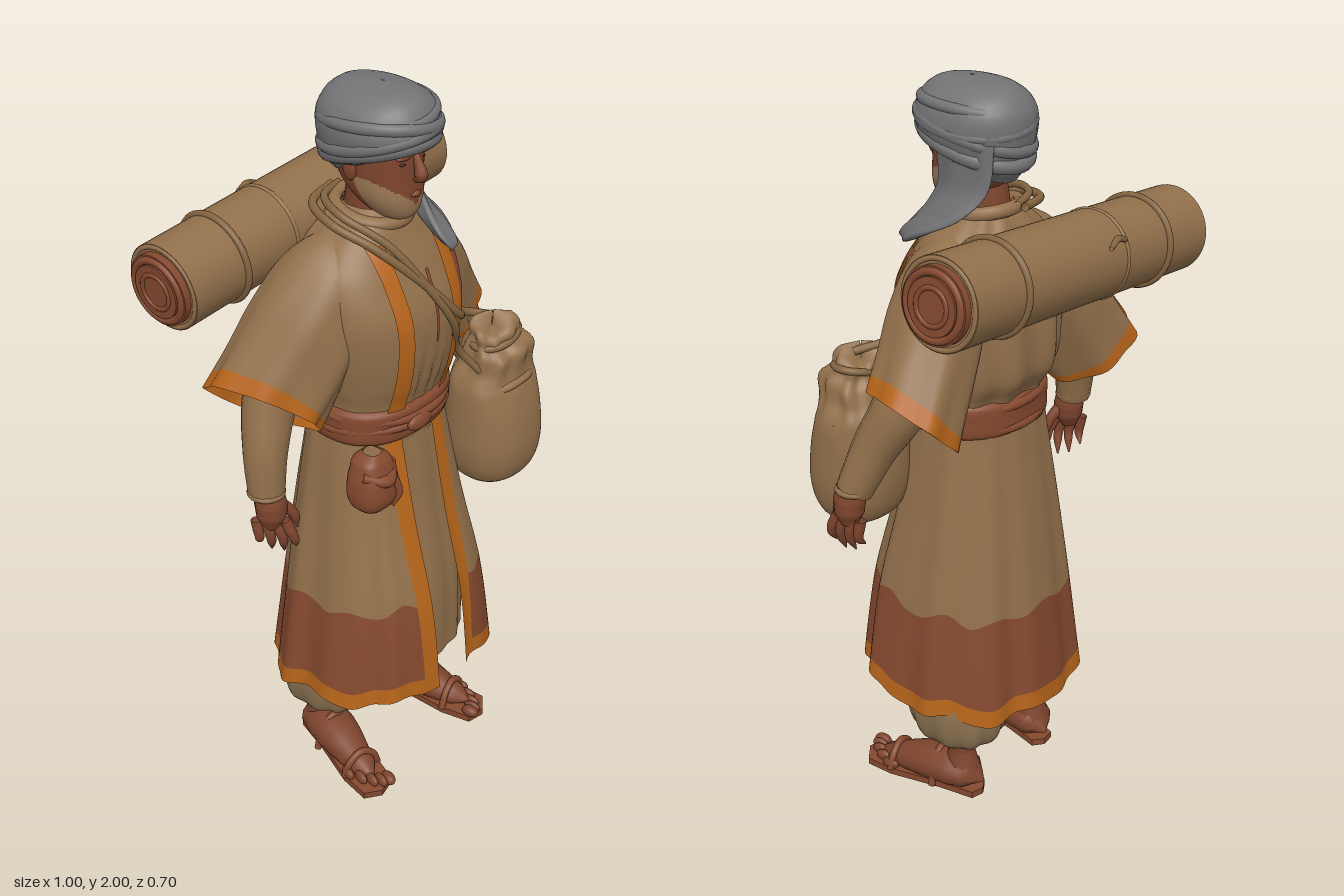
import * as THREE from 'three';
import { mergeVertices } from 'three/addons/utils/BufferGeometryUtils.js';

const mat = (name, color, side = THREE.DoubleSide) => new THREE.MeshStandardMaterial({ name, color, side });
const tan = mat('tan cloth', 0x92704b), pantsTan = mat('trouser cloth', 0x8a7150), red = mat('red-brown cloth', 0x85492f),
  orange = mat('orange trim', 0xb5641a), skin = mat('skin', 0x7e452e), grey = mat('grey turban', 0x737376),
  beardMat = mat('beard', 0x9c7854), rope = mat('rope', 0x846440), dark = mat('dark eyes', 0x3a231a);
const V = (x, y, z) => new THREE.Vector3(x, y, z);
const range = (a, b, n) => Array.from({ length: n + 1 }, (_, i) => a + (b - a) * i / n);
const TAU = Math.PI * 2;

// Smooth lookup in rows of [key, ...values]
function prof(rows, k) {
  const n = rows.length - 1;
  k = Math.min(Math.max(k, rows[0][0]), rows[n][0]);
  let i = 0;
  while (i < n - 1 && k > rows[i + 1][0]) i++;
  const A = rows[i], B = rows[i + 1], P = rows[Math.max(i - 1, 0)], N = rows[Math.min(i + 2, n)];
  const h = B[0] - A[0], t = (k - A[0]) / h, t2 = t * t, t3 = t2 * t;
  return A.slice(1).map((a, j) => {
    const b = B[j + 1], m0 = (b - P[j + 1]) / (B[0] - P[0]) * h, m1 = (N[j + 1] - a) / (N[0] - A[0]) * h;
    return (2 * t3 - 3 * t2 + 1) * a + (t3 - 2 * t2 + t) * m0 + (3 * t2 - 2 * t3) * b + (t3 - t2) * m1;
  });
}

// Surface over a grid of parameters; pick chooses a material for each cell
function grid(name, mats, us, vs, f, pick = () => 0, flip = false) {
  const pos = [], lists = mats.map(() => []), w = us.length;
  for (const v of vs) for (const u of us) pos.push(...f(u, v));
  for (let j = 0; j < vs.length - 1; j++) for (let i = 0; i < w - 1; i++) {
    const a = j * w + i, b = a + 1, c = b + w, d = a + w;
    lists[pick((us[i] + us[i + 1]) / 2, (vs[j] + vs[j + 1]) / 2)].push(...(flip ? [a, c, b, a, d, c] : [a, b, c, a, c, d]));
  }
  let g = new THREE.BufferGeometry();
  g.setAttribute('position', new THREE.Float32BufferAttribute(pos, 3));
  g.setIndex(lists.flat());
  let start = 0;
  lists.forEach((l, m) => { g.addGroup(start, l.length, m); start += l.length; });
  g = mergeVertices(g);
  g.computeVertexNormals();
  const mesh = new THREE.Mesh(g, mats.length > 1 ? mats : mats[0]);
  mesh.name = name;
  return mesh;
}

// Point on a rounded section [halfWidth, zFront, zBack, centreX]; a = 0 faces front
const sp = (v, p) => Math.sign(v) * Math.abs(v) ** p;
function section([w, zf, zb, cx = 0], a, p = 0.85, k = 1) {
  return [cx + w * k * sp(Math.sin(a), p), (zf + zb) / 2 + (zf - zb) / 2 * k * sp(Math.cos(a), p)];
}
function body(name, mats, rows, { n = 40, m = 30, p = 0.9, fold = () => 0, lift = () => 0, pick } = {}) {
  return grid(name, mats, range(0, TAU, n), range(rows[0][0], rows[rows.length - 1][0], m), (a, y) => {
    const [x, z] = section(prof(rows, y), a, p, 1 + fold(a, y));
    return [x, y + lift(a, y), z];
  }, pick);
}

// Tube of varying radius
function limb(name, material, pts, radii, closed = false, n = 28) {
  const curve = new THREE.CatmullRomCurve3(pts.map(q => V(...q)), closed);
  let g = new THREE.TubeGeometry(curve, n, 1, 12, closed);
  const P = g.attributes.position, q = V(0, 0, 0);
  for (let i = 0; i < P.count; i++) {
    const t = Math.floor(i / 13) / n, c = curve.getPointAt(t), s = t * (radii.length - 1), k = Math.min(Math.floor(s), radii.length - 2);
    const r = radii.length > 1 ? radii[k] + (radii[k + 1] - radii[k]) * (s - k) : radii[0];
    q.fromBufferAttribute(P, i).sub(c).multiplyScalar(r).add(c);
    P.setXYZ(i, q.x, q.y, q.z);
  }
  g.deleteAttribute('uv'); g.deleteAttribute('normal');
  g = mergeVertices(g);
  g.computeVertexNormals();
  const mesh = new THREE.Mesh(g, material);
  mesh.name = name;
  return mesh;
}
function ball(name, material, c, s) {
  const mesh = new THREE.Mesh(new THREE.SphereGeometry(1, 18, 12), material);
  mesh.name = name; mesh.position.set(...c); mesh.scale.set(...s);
  return mesh;
}

// Cross-sections by height
const SKIRT = [[0.27, 0.308, 0.352, -0.208], [0.6, 0.264, 0.314, -0.176], [0.85, 0.224, 0.25, -0.148], [1.13, 0.182, 0.19, -0.11]];
const TORSO = [[1.08, 0.18, 0.19, -0.105], [1.19, 0.182, 0.195, -0.105], [1.26, 0.2, 0.215, -0.145], [1.35, 0.215, 0.228, -0.15],
  [1.45, 0.225, 0.222, -0.14], [1.55, 0.215, 0.178, -0.125], [1.62, 0.165, 0.14, -0.1], [1.67, 0.105, 0.115, -0.07], [1.695, 0.07, 0.09, -0.045]];
const angleAt = (x, w, p = 0.85) => Math.asin(Math.sign(x) * Math.min(1, Math.abs(x) / w) ** (1 / p));
function chestZ(x, y) {
  const r = prof(TORSO, y);
  return section(r, angleAt(x, r[0]))[1];
}

function robe(g) {
  // Open skirt: u 0-1 left trim, 1-2 cloth, 2-3 right trim
  const us = [...range(0, 1, 3), ...range(1, 2, 120).slice(1), ...range(2, 3, 3).slice(1)];
  const ts = [0, 0.03, 0.06, ...range(0.06, 0.36, 8).slice(1), ...range(0.36, 1, 16).slice(1)];
  g.add(grid('robeSkirt', [tan, red, orange], us, ts, (u, t) => {
    const w = prof(SKIRT, 0.32 + 0.8 * t)[0];
    const l0 = angleAt(0.045, w), l1 = angleAt(0.094, w), r1 = TAU - angleAt(0.117, w), r0 = TAU - angleAt(0.07, w);
    const a = u < 1 ? l0 + (l1 - l0) * u : u < 2 ? l1 + (r1 - l1) * (u - 1) : r1 + (r0 - r1) * (u - 2);
    const yb = 0.318 + 0.037 * Math.cos(a) + 0.01 * Math.sin(7 * a);
    const y = yb + (1.12 - yb) * t + 0.013 * Math.sin(10 * a + 1) * Math.max(0, 1 - Math.abs(t - 0.36) / 0.28);
    const [x, z] = section(prof(SKIRT, y), a, 0.85, 1 + (0.028 * Math.cos(10 * a + 0.5) + 0.014 * Math.cos(17 * a)) * (1 - 0.7 * t));
    return [x, y, z];
  }, (u, t) => u < 1 || u > 2 || t < 0.06 ? 2 : t < 0.36 ? 1 : 0));
  g.add(grid('innerRobe', [tan], range(-0.85, 0.85, 30), range(0.378, 1.12, 14), (a, y) => {
    const [x, z] = section(prof(SKIRT, y), a, 0.85, 0.94 - 0.2 * (1.12 - y) / 0.74 + 0.012 * Math.cos(16 * a));
    return [x, y, z];
  }));
  // Upper robe, pleated at the back and gathered above the belt
  g.add(body('robeTorso', [tan], TORSO, { n: 120, m: 48, p: 0.85, fold: (a, y) => {
    const back = ((1 - Math.cos(a)) / 2) ** 2, front = Math.max(0, Math.cos(a) - 0.955) * 22 * Math.max(0, 1 - Math.abs(y - 1.27) / 0.13);
    return 0.04 * Math.cos(11 * a) * back + 0.035 * (Math.cos(38 * a) - 0.3) * front;
  } }));
  // Chest trim: x limits at bottom and top
  const strip = (name, m, y0, y1, b0, b1, t0, t1) => g.add(grid(name, [m], range(0, 1, 4), range(0, 1, 24), (u, t) => {
    const y = y0 + (y1 - y0) * t, l = b0 + (t0 - b0) * t, r = b1 + (t1 - b1) * t, x = l + (r - l) * u;
    return [x, y, chestZ(x, y) + 0.0095];
  }));
  strip('leftChestTrim', orange, 1.19, 1.61, 0.06, 0.105, 0.085, 0.137);
  strip('rightChestTrim', orange, 1.19, 1.63, -0.115, -0.07, -0.124, -0.08);
  strip('chestPatch', red, 1.4, 1.59, 0.118, 0.122, 0.137, 0.185);
  strip('neckOpening', red, 1.37, 1.55, 0.0, 0.008, 0.01, 0.022);
  const loop = (y, rx, zf, zb, tilt) => range(0, TAU, 12).slice(1).map(a => [rx * Math.sin(a), y + tilt * Math.cos(a), (zf + zb) / 2 + (zf - zb) / 2 * Math.cos(a)]);
  g.add(limb('collar', tan, loop(1.675, 0.088, 0.115, -0.07, -0.015), [0.018], true, 40));
  // Wrapped belt
  g.add(body('belt', [red], [[1.095, 0.178, 0.185, -0.1], [1.105, 0.192, 0.204, -0.114], [1.15, 0.195, 0.208, -0.117], [1.19, 0.194, 0.208, -0.115], [1.2, 0.178, 0.19, -0.1]],
    { n: 48, m: 12, p: 0.85, lift: a => 0.006 * Math.sin(a) }));
  for (const [y, t] of [[1.13, 0.012], [1.17, -0.01]]) g.add(limb('beltWrap', red, loop(y, 0.187, 0.21, -0.112, t), [0.013], true, 48));
  g.add(ball('beltKnot', red, [-0.03, 1.145, 0.215], [0.045, 0.024, 0.016]));
}

function arm(g, s) {
  const left = s > 0, side = left ? 'left' : 'right';
  // Wide short sleeve: top x,y, bottom x,y, z centre, half depth; the right one swings back at the top
  const S = [[0, 0.07, 1.655, 0.1, 1.35, 0.02, 0.08], [1, 0.185, 1.62, 0.15, 1.3, 0.01, 0.122], [2, 0.285, 1.515, 0.18, 1.24, 0, 0.13],
    [3, 0.36, 1.4, 0.21, 1.18, -0.012, 0.125], [4, 0.427, 1.295, 0.24, 1.135, -0.024, 0.125]];
  const lean = left ? 0.03 : 0.11;
  g.add(grid(side + 'Sleeve', [tan, orange], range(0, TAU, 56), [...range(0, 3.6, 20), 3.8, 4], (a, v) => {
    const [tx, ty, bx, by, zc, hz] = prof(S, v), k = 1 + 0.05 * Math.cos(7 * a) * v / 4, c = sp(Math.cos(a), 0.9) * k / 2, n = sp(Math.sin(a), 0.9);
    return [s * ((tx + bx) / 2 + (tx - bx) * c), (ty + by) / 2 + (ty - by) * c + 0.03 * n * v / 4, zc + hz * n * k - lean * c * v / 4 - (left ? 0 : 0.02 * v / 4)];
  }, (a, v) => v > 3.6 ? 1 : 0, s < 0));
  const wx = left ? 0.412 : 0.387, wz = left ? 0.11 : 0.015, ez = left ? 0.015 : -0.02;
  g.add(limb(side + 'Forearm', tan, [[s * 0.25, 1.45, 0], [s * 0.325, 1.26, ez], [s * 0.372, 1.13, ez + (wz - ez) * 0.6], [s * wx, 1.015, wz]], [0.06, 0.075, 0.07, 0.058, 0.048]));
  g.add(limb(side + 'Cuff', tan, range(0, TAU, 8).slice(1).map(a => [s * wx + 0.041 * Math.sin(a), 1.02, wz + 0.041 * Math.cos(a)]), [0.009], true));
  // Hand
  const h = new THREE.Group();
  h.name = side + 'Hand';
  h.position.set(s * wx, 1.02, wz);
  h.rotation.y = s * (left ? 0.1 : -0.7);
  h.scale.setScalar(1.06);
  h.add(limb('palm', skin, [[0, 0.03, 0], [s * 0.006, -0.03, 0.01], [s * 0.01, -0.095, 0.01]], [0.033, 0.036, 0.04, 0.037, 0.02]));
  for (let i = 0; i < 4; i++) {
    const z = -0.026 + i * 0.023, l = [0.15, 0.175, 0.18, 0.165][i];
    h.add(limb('finger', skin, [[s * 0.012, -0.075, z], [s * 0.014, -0.125, z * 1.2 + 0.012], [-s * 0.008, -l, z * 1.3 + 0.012]], [0.014, 0.0135, 0.011, 0.002]));
  }
  h.add(limb('thumb', skin, [[0, -0.03, 0.025], [-s * 0.014, -0.075, 0.062], [-s * 0.022, -0.12, 0.07]], [0.017, 0.015, 0.012, 0.002]));
  g.add(h);
}

function leg(g, s) {
  const side = s > 0 ? 'left' : 'right', cx = s > 0 ? 0.155 : -0.142;
  g.add(body(side + 'Trouser', [pantsTan], [[0.16, 0.04, 0.03, -0.08, cx], [0.17, 0.075, 0.07, -0.1, cx], [0.2, 0.105, 0.115, -0.135, cx],
    [0.27, 0.119, 0.138, -0.15, cx], [0.34, 0.112, 0.136, -0.14, cx], [0.42, 0.085, 0.1, -0.1, cx * 0.9], [0.6, 0.07, 0.08, -0.07, cx * 0.8]],
    { n: 60, fold: (a, y) => 0.045 * Math.cos(10 * a) * Math.max(0, 1 - Math.abs(y - 0.19) / 0.12) }));
  const f = new THREE.Group();
  f.name = side + 'Foot';
  f.position.set(s > 0 ? 0.175 : -0.145, 0, -0.03);
  f.rotation.y = s * (s > 0 ? 0.16 : 0.26);
  f.add(limb('ankle', skin, [[0, 0.22, 0], [0, 0.13, -0.005], [0, 0.05, -0.015]], [0.042, 0.038, 0.052]));
  const foot = limb('foot', skin, [[0, 0.045, -0.078], [0, 0.062, -0.01], [0, 0.06, 0.08], [0, 0.042, 0.18], [0, 0.032, 0.265]], [0.002, 0.048, 0.057, 0.057, 0.051, 0.042, 0.032, 0.004]);
  foot.scale.x = 1.15;
  f.add(foot);
  for (let i = 0; i < 5; i++) f.add(ball('toe', skin, [s * (-0.036 + i * 0.021), 0.03, 0.285 - 0.005 * i * i], [i ? 0.012 : 0.017, 0.017, 0.026]));
  const shape = new THREE.Shape([[-0.035, -0.06], [0, -0.075], [0.035, -0.06], [0.04, 0.05], [0.058, 0.2], [0.05, 0.28], [0, 0.308], [-0.05, 0.29], [-0.058, 0.2], [-0.04, 0.05]].map(q => new THREE.Vector2(q[0], -q[1])));
  const sole = new THREE.Mesh(new THREE.ExtrudeGeometry(shape, { depth: 0.02, bevelEnabled: false }), red);
  sole.name = 'sandalSole'; sole.rotation.x = -Math.PI / 2;
  f.add(sole);
  for (const [z, h, w] of [[0.2, 0.082, 0.056], [0.06, 0.118, 0.058]])
    f.add(limb('sandalStrap', red, [[-w, 0.015, z], [-w * 0.7, h * 0.7, z], [0, h, z], [w * 0.7, h * 0.7, z], [w, 0.015, z]], [0.01]));
  g.add(f);
}

function head(g) {
  g.add(limb('neck', skin, [[0, 1.6, 0.01], [0, 1.68, 0.015], [0, 1.78, 0.03]], [0.07, 0.062, 0.06]));
  g.add(body('face', [skin, beardMat], [[1.668, 0.004, 0.11, 0.1], [1.675, 0.03, 0.14, 0.06], [1.695, 0.054, 0.158, 0.02], [1.735, 0.077, 0.165, -0.03], [1.79, 0.085, 0.163, -0.07], [1.85, 0.088, 0.162, -0.085], [1.92, 0.085, 0.15, -0.08]],
    { n: 72, m: 48, pick: (a, y) => Math.cos(a) > -0.1 && y < 1.72 + 0.065 * Math.abs(Math.sin(a)) ? 1 : 0 }));
  g.add(limb('nose', skin, [[0, 1.85, 0.158], [0, 1.82, 0.172], [0, 1.795, 0.178], [0, 1.782, 0.16]], [0.009, 0.012, 0.017, 0.008]));
  g.add(limb('lips', skin, [[-0.026, 1.742, 0.152], [0, 1.748, 0.166], [0.026, 1.742, 0.152]], [0.002, 0.008, 0.002]));
  for (const s of [-1, 1]) {
    g.add(ball('eye', dark, [s * 0.035, 1.828, 0.15], [0.011, 0.004, 0.008]));
    g.add(ball('brow', skin, [s * 0.036, 1.848, 0.154], [0.026, 0.009, 0.012]));
    g.add(ball('ear', skin, [s * 0.086, 1.8, 0.03], [0.012, 0.03, 0.02]));
  }
  // Turban, lower at the back, with a domed crown
  g.add(body('turban', [grey], [[1.805, 0.082, 0.15, -0.07, 0.002], [1.83, 0.114, 0.185, -0.093, 0.002], [1.88, 0.132, 0.206, -0.113, 0.002], [1.92, 0.13, 0.202, -0.116, 0.002], [1.955, 0.114, 0.188, -0.1, 0.002],
    [1.98, 0.084, 0.165, -0.075, 0.002], [1.995, 0.048, 0.125, -0.035, 0.002], [2, 0.002, 0.06, 0.05, 0.002]],
    { m: 44, p: 0.95, lift: (a, y) => 0.045 * Math.cos(a) * Math.max(0, (1.93 - y) / 0.115), fold: (a, y) => 0.006 * Math.cos(13 * a) * Math.min(1, (2 - y) / 0.06) }));
  for (const [y, tz, tx, rx, rz, r] of [[1.845, 0.04, 0, 0.11, 0.141, 0.021], [1.875, 0.035, 0.014, 0.119, 0.148, 0.018], [1.905, 0.015, -0.018, 0.121, 0.15, 0.016], [1.932, 0.005, 0.014, 0.112, 0.141, 0.015]])
    g.add(limb('turbanWrap', grey, range(0, TAU, 14).slice(1).map(a => [0.002 + rx * Math.sin(a), y + tz * Math.cos(a) + tx * Math.sin(a), 0.046 + rz * Math.cos(a)]), [r], true, 48));
  // Hanging tail: front edge x,z, back edge x,z, thickness
  const T = [[1.58, 0.085, 0.215, 0.125, 0.18, 0.004], [1.595, 0.068, 0.22, 0.145, 0.145, 0.018], [1.635, 0.055, 0.19, 0.165, 0.07, 0.024],
    [1.68, 0.068, 0.145, 0.145, -0.015, 0.022], [1.75, 0.08, 0.1, 0.1, -0.07, 0.017], [1.87, 0.092, 0.1, 0.09, -0.085, 0.017]];
  g.add(grid('turbanTail', [grey], range(0, TAU, 32), range(1.58, 1.87, 24), (u, y) => {
    const [fx, fz, bx, bz, th] = prof(T, y), dx = (fx - bx) / 2, dz = (fz - bz) / 2, l = Math.hypot(dx, dz);
    const c = Math.cos(u), n = th * Math.sin(u) * (1 + 0.25 * Math.cos(5 * u));
    return [(fx + bx) / 2 + dx * c + dz / l * n, y, (fz + bz) / 2 + dz * c - dx / l * n];
  }));
}

function gear(g) {
  // Bedroll, slightly tilted
  const roll = new THREE.Group();
  roll.name = 'bedroll';
  roll.position.set(-0.003, 1.583, -0.226);
  roll.rotation.z = 0.085;
  const cyl = (name, m, r, l) => {
    const c = new THREE.Mesh(new THREE.CylinderGeometry(r, r, l, 40), m);
    c.name = name; c.rotation.z = Math.PI / 2;
    roll.add(c);
  };
  const ring = (name, m, x, R, r) => {
    const t = new THREE.Mesh(new THREE.TorusGeometry(R, r, 10, 40), m);
    t.name = name; t.rotation.y = Math.PI / 2; t.position.x = x;
    roll.add(t);
  };
  cyl('rollCloth', tan, 0.114, 0.93);
  cyl('rollLining', red, 0.094, 0.968);
  cyl('rollCore', red, 0.07, 0.984);
  for (const s of [-1, 1]) {
    ring('rollEdge', tan, s * 0.463, 0.106, 0.007);
    ring('rollTurn', red, s * 0.483, 0.08, 0.01);
    ring('rollTurn', red, s * 0.49, 0.045, 0.007);
  }
  for (const x of [-0.293, 0.283]) ring('rollCord', rope, x, 0.116, 0.009);
  ring('rollSeam', tan, -0.115, 0.111, 0.007);
  roll.add(limb('rollTie', rope, [[-0.11, 0.06, -0.1], [-0.07, 0.07, -0.105], [-0.03, 0.055, -0.115]], [0.007, 0.009, 0.006]));
  g.add(roll);
  // Soft shoulder bag, gathered at the top
  const c = 0.268;
  g.add(body('bag', [tan], [[0.85, 0.01, 0.24, 0.2, c], [0.855, 0.07, 0.285, 0.16, c], [0.885, 0.108, 0.325, 0.125, c], [0.96, 0.128, 0.345, 0.105, c], [1.06, 0.127, 0.338, 0.105, c], [1.14, 0.121, 0.318, 0.115, c],
    [1.17, 0.112, 0.305, 0.122, c], [1.2, 0.096, 0.303, 0.135, c], [1.25, 0.086, 0.305, 0.15, c], [1.275, 0.07, 0.275, 0.165, c - 0.005], [1.3, 0.068, 0.275, 0.16, c - 0.01], [1.32, 0.045, 0.25, 0.18, c - 0.01], [1.325, 0.002, 0.216, 0.214, c - 0.01]],
    { m: 56, n: 72, p: 0.85, fold: (a, y) => (0.06 * Math.cos(9 * a) + 0.05 * Math.sin(4 * a + 20 * y)) * Math.min(1, Math.max(0, (y - 1.13) / 0.1)), lift: (a, y) => 0.02 * Math.sin(2 * a) * Math.max(0, y - 1.15) / 0.17 }));
  g.add(limb('bagFold', tan, [[0.16, 1.16, 0.2], [0.2, 1.155, 0.285], [c, 1.165, 0.308], [0.34, 1.155, 0.28], [0.38, 1.15, 0.2]], [0.006, 0.012, 0.01, 0.012, 0.006]));
  g.add(limb('bagCord', rope, range(0, TAU, 12).slice(1).map(a => [c - 0.005 + 0.07 * Math.sin(a), 1.275 + 0.015 * Math.sin(a), 0.22 + 0.055 * Math.cos(a)]), [0.01], true, 32));
  // Straps across the chest and around the neck
  const on = (x, y) => [x, y, chestZ(x, y) + 0.018];
  g.add(limb('bagStrap', rope, [[-0.01, 1.695, -0.1], [-0.11, 1.69, -0.07], [-0.15, 1.675, 0.03], on(-0.11, 1.63), on(-0.02, 1.53), on(0.09, 1.41), on(0.19, 1.35), [0.28, 1.32, 0.22]], [0.011], false, 60));
  g.add(limb('bagStrap', rope, [[0.0, 1.7, -0.085], [-0.09, 1.705, -0.05], [-0.13, 1.695, 0.04], on(-0.075, 1.63), on(0.0, 1.5), on(0.06, 1.4), on(0.13, 1.28), [0.19, 1.19, 0.25]], [0.01], false, 60));
  // Belt pouch
  const p = -0.178;
  g.add(body('beltPouch', [red], [[0.945, 0.01, 0.2, 0.18, p], [0.952, 0.046, 0.225, 0.15, p], [0.985, 0.064, 0.245, 0.13, p], [1.04, 0.062, 0.242, 0.13, p], [1.07, 0.054, 0.232, 0.135, p], [1.095, 0.045, 0.222, 0.14, p], [1.11, 0.02, 0.205, 0.16, p]], { n: 28, m: 20, p: 0.75 }));
  g.add(limb('pouchFlap', red, [[p - 0.055, 1.065, 0.2], [p, 1.045, 0.237], [p + 0.055, 1.065, 0.2]], [0.012, 0.018, 0.012]));
  g.add(limb('pouchTie', red, [[p + 0.02, 1.05, 0.242], [p + 0.03, 1.0, 0.25], [p + 0.02, 0.96, 0.238]], [0.01, 0.009, 0.004]));
}

export function createModel() {
  const g = new THREE.Group();
  g.name = 'traveller';
  robe(g);
  for (const s of [-1, 1]) { arm(g, s); leg(g, s); }
  head(g);
  gear(g);
  return g;
}
